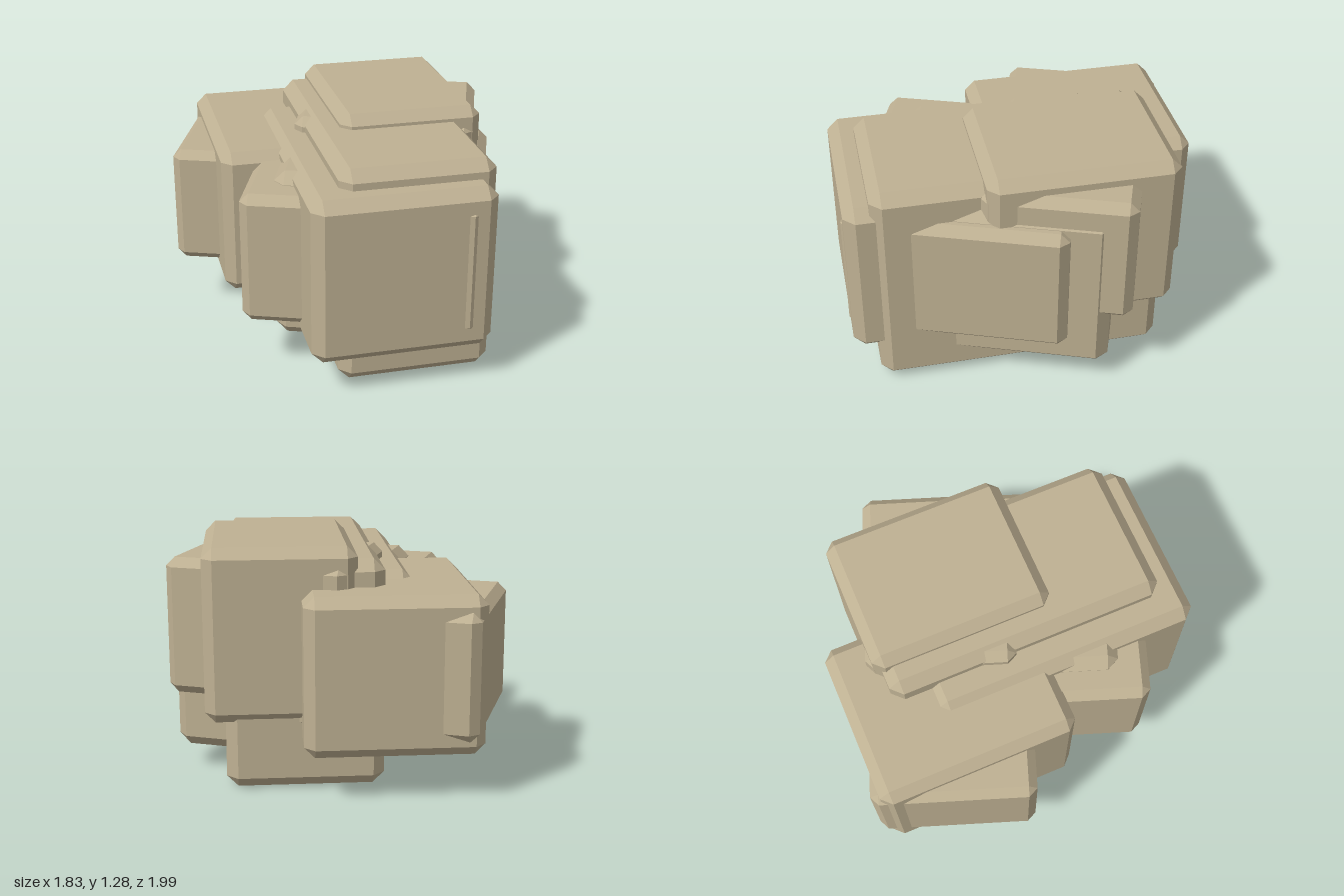
import * as THREE from 'three';
import { ConvexGeometry } from 'three/addons/geometries/ConvexGeometry.js';

// Box with every edge and corner cut off by a flat chamfer
function chamferedBox(hx, hy, hz, c) {
  const points = [];
  for (const x of [-1, 1]) for (const y of [-1, 1]) for (const z of [-1, 1]) {
    points.push(
      new THREE.Vector3(x * hx, y * (hy - c), z * (hz - c)),
      new THREE.Vector3(x * (hx - c), y * hy, z * (hz - c)),
      new THREE.Vector3(x * (hx - c), y * (hy - c), z * hz),
    );
  }
  return new ConvexGeometry(points);
}

export function createModel() {
  const model = new THREE.Group();
  const sandstone = new THREE.MeshStandardMaterial({ color: 0xbfb193 });
  sandstone.name = 'sandstone';
  const turn = THREE.MathUtils.degToRad(20);

  // Each boulder is a turned block with a straight block sharing its centre:
  // half sizes are [x, y, z, chamfer]
  const boulders = [
    { name: 'tall', at: [0.265, 0.605, -0.04], turned: [0.415, 0.605, 0.775, 0.06], straight: [0.515, 0.48, 0.615, 0.06] },
    { name: 'front', at: [0.225, 0.655, 0.15], turned: [0.485, 0.457, 0.744, 0.06], straight: [0.628, 0.367, 0.59, 0.048] },
    { name: 'upper', at: [0.277, 0.825, -0.372], turned: [0.395, 0.457, 0.504, 0.055], straight: [0.495, 0.366, 0.4, 0.048] },
    { name: 'side', at: [-0.315, 0.655, -0.34], turned: [0.462, 0.416, 0.554, 0.055], straight: [0.588, 0.335, 0.44, 0.046] },
  ];

  for (const { name, at, turned, straight } of boulders) {
    const boulder = new THREE.Group();
    boulder.name = name + 'Boulder';
    boulder.position.set(...at);
    const outer = new THREE.Mesh(chamferedBox(...turned), sandstone);
    outer.name = name + 'TurnedBlock';
    outer.rotation.y = turn;
    const inner = new THREE.Mesh(chamferedBox(...straight), sandstone);
    inner.name = name + 'StraightBlock';
    boulder.add(outer, inner);
    model.add(boulder);
  }
  return model;
}
